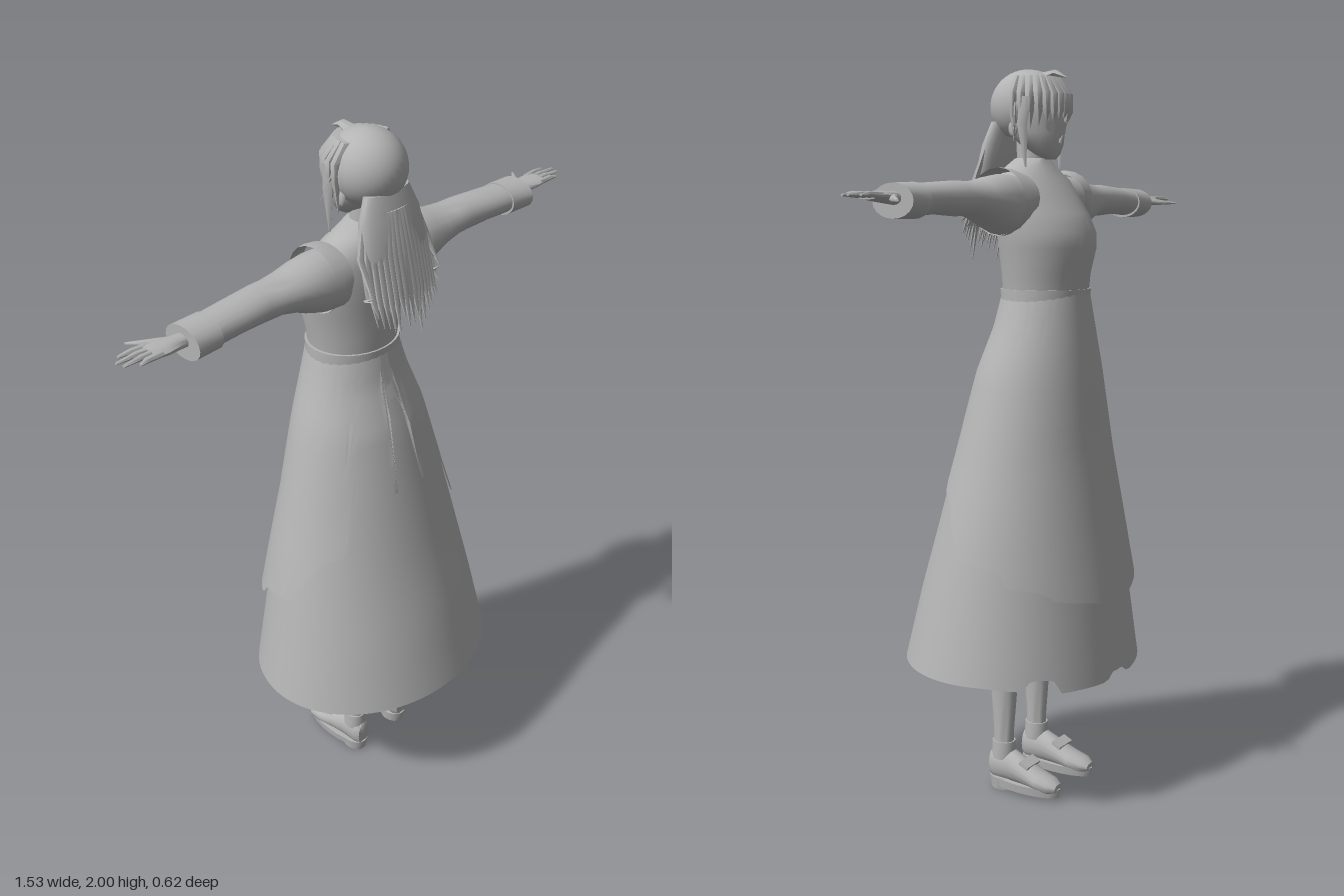
import * as THREE from 'three';
import { toCreasedNormals } from 'three/addons/utils/BufferGeometryUtils.js';

const grey = new THREE.MeshStandardMaterial({ color: 0xb4b4b4, side: THREE.DoubleSide });
grey.name = 'plain grey';

// Piecewise linear lookup: rows are [key, ...values], keys ascending
function lookup(rows, k) {
  let i = 1;
  while (i < rows.length - 1 && rows[i][0] < k) i++;
  const a = rows[i - 1], b = rows[i];
  const t = THREE.MathUtils.clamp((k - a[0]) / (b[0] - a[0]), 0, 1);
  return a.slice(1).map((v, n) => v + (b[n + 1] - v) * t);
}

// Surface from equal-length loops of points
function skin(loops, crease = 0.9) {
  const n = loops[0].length, index = [];
  for (let i = 0; i < loops.length - 1; i++) {
    for (let j = 0; j < n; j++) {
      const a = i * n + j, b = i * n + (j + 1) % n;
      index.push(a, b, b + n, a, b + n, a + n);
    }
  }
  const g = new THREE.BufferGeometry();
  g.setAttribute('position', new THREE.Float32BufferAttribute(loops.flat(2), 3));
  g.setIndex(index);
  return toCreasedNormals(g, crease);
}

// Elliptical sections [x, y, z, r1, r2] stacked along an axis, ends closed
function loft(axis, sections, seg = 16, closed = true) {
  const k = 'xyz'.indexOf(axis);
  const s = sections.slice().sort((p, q) => p[k] - q[k]);
  if (closed) {
    s.unshift([...s[0].slice(0, 3), 0, 0]);
    s.push([...s[s.length - 1].slice(0, 3), 0, 0]);
  }
  return skin(s.map(([x, y, z, p, q]) => Array.from({ length: seg }, (_, j) => {
    const a = j / seg * Math.PI * 2, c = Math.cos(a), d = Math.sin(a);
    if (axis === 'x') return [x, y + p * c, z + q * d];
    if (axis === 'y') return [x + p * d, y, z + q * c];
    return [x + p * c, y + q * d, z];
  })));
}

// Upright body from rows [y, halfWidth, zFront, zBack]
const body = (rows, seg) =>
  loft('y', rows.map(([y, w, f, b]) => [0, y, (f + b) / 2, w, (b - f) / 2]), seg);

const mirror = (sections, side) => sections.map(([x, ...r]) => [x * side, ...r]);

// Skirt shape: [y, halfWidth, zFront, zBack]
const skirtShape = [
  [0.36, 0.378, -0.31, 0.32], [0.6, 0.33, -0.28, 0.262], [0.8, 0.29, -0.255, 0.205],
  [1.0, 0.245, -0.232, 0.155], [1.2, 0.193, -0.21, 0.105], [1.32, 0.15, -0.195, 0.06],
  [1.41, 0.124, -0.183, 0.04]];

// Cloth hung from the waist to an edge height that depends on the angle from the back
function cloth(edge, flare, lift) {
  const seg = 96, rows = 16, loops = [];
  for (let i = 0; i <= rows; i++) {
    loops.push(Array.from({ length: seg }, (_, j) => {
      const a = j / seg * Math.PI * 2;
      const [low] = lookup(edge, a > Math.PI ? Math.PI * 2 - a : a);
      const y = low + (1.41 - low) * i / rows;
      const [w, f, b] = lookup(skirtShape, y);
      const o = lift + flare * Math.max(0, 1 - (y - 0.58) / 0.4);
      return [(w + o) * Math.sin(a), y, (f + b) / 2 + ((b - f) / 2 + o) * Math.cos(a)];
    }));
  }
  return skin(loops, 0.6);
}

export function createModel() {
  const model = new THREE.Group();
  const add = (name, geometry, parent = model) => {
    const m = new THREE.Mesh(geometry, grey);
    m.name = name;
    parent.add(m);
    return m;
  };
  const group = (name) => {
    const g = new THREE.Group();
    g.name = name;
    model.add(g);
    return g;
  };
  let seed = 7;
  const rand = () => (seed = (seed * 16807) % 2147483647) / 2147483647;

  // Dress and apron
  add('skirt', cloth([[0, 0.4], [1.9, 0.395], [2.25, 0.385], [2.3, 0.415], [2.5, 0.405],
    [2.55, 0.37], [3.0, 0.365], [3.05, 0.385], [3.15, 0.385]], 0, 0));
  add('apron', cloth([[0, 1.28], [0.12, 1.28], [0.19, 1.03], [0.55, 1.04], [0.7, 1.1],
    [0.8, 1.02], [0.86, 0.88], [1.15, 0.86], [1.35, 0.78], [1.5, 0.72], [1.95, 0.7],
    [2.05, 0.66], [2.4, 0.64], [2.45, 0.62], [3.15, 0.575]], 0.018, 0.004));
  add('bodice', body([[1.39, 0.123, -0.182, 0.04], [1.46, 0.13, -0.188, 0.045],
    [1.53, 0.145, -0.203, 0.05], [1.57, 0.15, -0.2, 0.055], [1.62, 0.15, -0.175, 0.06],
    [1.67, 0.148, -0.137, 0.06], [1.71, 0.135, -0.11, 0.055], [1.74, 0.09, -0.085, 0.04],
    [1.765, 0.048, -0.07, 0.02]], 32));
  add('waistband', body([[1.385, 0.134, -0.187, 0.046], [1.42, 0.134, -0.188, 0.047]], 32));
  add('neck', body([[1.74, 0.037, -0.065, 0.015], [1.83, 0.035, -0.06, 0.02]], 14));

  // Head and face
  const head = group('head');
  add('face', body([[1.762, 0.014, -0.1, -0.07], [1.775, 0.035, -0.108, -0.04],
    [1.8, 0.06, -0.114, 0], [1.83, 0.075, -0.115, 0.03], [1.87, 0.083, -0.112, 0.06],
    [1.92, 0.085, -0.11, 0.07], [1.96, 0.065, -0.085, 0.06]], 24), head);
  const nose = add('nose', new THREE.ConeGeometry(0.008, 0.022, 6), head);
  nose.position.set(0, 1.815, -0.118);
  nose.rotation.x = -0.5;
  for (const s of [-1, 1]) {
    const eye = add('eye', new THREE.CircleGeometry(0.015, 14), head);
    eye.position.set(s * 0.036, 1.845, -0.107);
    eye.rotation.y = Math.PI - s * 0.42;
    const ear = add('ear', new THREE.SphereGeometry(0.018, 10, 8), head);
    ear.scale.set(0.4, 1.2, 0.8);
    ear.position.set(s * 0.083, 1.84, -0.02);
  }

  // Hair cap, open over the face
  const hair = group('hair');
  const cap = new THREE.SphereGeometry(1, 36, 24);
  const p = cap.attributes.position;
  for (let i = 0; i < p.count; i++) {
    const y = p.getY(i), z = p.getZ(i);
    const front = THREE.MathUtils.smoothstep(-z, 0.1, 0.45);
    const low = THREE.MathUtils.lerp(-0.8, 0.15, front);
    p.setXYZ(i, p.getX(i) * 0.097, 1.9 + Math.max(y, low) * 0.097,
      -0.012 + z * (z < 0 ? 0.112 : 0.102));
  }
  cap.computeVertexNormals();
  add('hairCap', cap, hair);

  // Fringe and side locks
  for (let i = 0; i < 15; i++) {
    const t = (i - 7) / 7, a = t * 1.45, edge = Math.abs(t);
    const x = Math.sin(a), z = -Math.cos(a);
    const tip = 1.85 + 0.02 * rand() - 0.05 * edge * edge;
    add('fringeLock', loft('y', [[x * 0.065, 1.975, -0.012 + z * 0.08, 0.012, 0.012],
      [x * 0.092, 1.93, -0.012 + z * 0.113, 0.016, 0.013],
      [x * 0.094, 1.885, -0.012 + z * 0.117, 0.012, 0.01],
      [x * 0.088, tip, -0.012 + z * 0.112, 0.001, 0.001]], 6), hair);
  }
  for (const s of [-1, 1]) {
    add('sideLock', loft('y', mirror([[0.085, 1.92, -0.06, 0.014, 0.02],
      [0.094, 1.85, -0.055, 0.01, 0.016], [0.085, 1.74, -0.06, 0.002, 0.003]], s), 6), hair);
    add('strayHair', loft('y', mirror([[0.09, 1.92, -0.03, 0.002, 0.003],
      [0.108, 1.88, -0.04, 0.002, 0.002], [0.125, 1.835, -0.05, 0.0005, 0.0005]], s), 4), hair);
  }
  add('topTuft', loft('z', [[0, 1.97, -0.06, 0.02, 0.018], [0, 1.983, -0.1, 0.013, 0.01],
    [0, 1.97, -0.135, 0.001, 0.001]], 6), hair);

  // Long tail of hair: solid core and pointed strands
  add('hairTail', loft('y', [[0, 1.86, 0.05, 0.075, 0.025], [0, 1.8, 0.06, 0.1, 0.035],
    [0, 1.72, 0.075, 0.112, 0.038], [0, 1.65, 0.088, 0.11, 0.03],
    [0, 1.59, 0.1, 0.085, 0.014]], 20), hair);
  for (let i = 0; i < 34; i++) {
    const t = (i % 17 - 8) / 8, layer = i < 17 ? 0 : 1, bow = 1 - t * t;
    const tip = 1.485 + 0.09 * t * t + 0.07 * rand();
    const x = t * 0.118, z = layer ? bow * 0.033 : -bow * 0.025;
    add('hairStrand', loft('y', [[x * 0.7, 1.82, 0.056 + z * 0.9, 0.009, 0.007],
      [x * 0.95, 1.72, 0.076 + z, 0.012, 0.008], [x, 1.62, 0.1 + z, 0.01, 0.007],
      [x * 1.02, tip, 0.123 + z * 0.9, 0.001, 0.001]], 6), hair);
  }

  for (const s of [-1, 1]) {
    const side = s > 0 ? 'left' : 'right';

    // Shoulder frill and sleeve
    const arm = group(side + 'Arm');
    add('shoulderFrill', loft('x', mirror([[0.115, 1.66, -0.035, 0.068, 0.09],
      [0.15, 1.652, -0.032, 0.085, 0.092], [0.172, 1.65, -0.03, 0.087, 0.088]], s), 20, false), arm);
    add('sleeve', loft('x', mirror([[0.11, 1.64, -0.03, 0.08, 0.075],
      [0.17, 1.643, -0.03, 0.078, 0.076], [0.22, 1.648, -0.03, 0.066, 0.072],
      [0.26, 1.652, -0.03, 0.052, 0.066], [0.31, 1.657, -0.027, 0.043, 0.06],
      [0.36, 1.657, -0.027, 0.044, 0.055], [0.44, 1.657, -0.022, 0.039, 0.056],
      [0.525, 1.652, -0.02, 0.039, 0.053]], s), 20), arm);
    add('cuff', loft('x', mirror([[0.515, 1.651, -0.02, 0.044, 0.058],
      [0.59, 1.65, -0.018, 0.042, 0.062]], s), 20), arm);

    // Hand with fingers spread flat
    add('palm', loft('x', mirror([[0.57, 1.655, -0.02, 0.017, 0.022],
      [0.61, 1.657, -0.02, 0.015, 0.026], [0.65, 1.66, -0.02, 0.013, 0.036],
      [0.685, 1.661, -0.02, 0.009, 0.034]], s), 14), arm);
    [0.745, 0.765, 0.76, 0.73].forEach((end, i) => {
      const z = -0.046 + i * 0.017, zt = z - 0.006 + i * 0.004;
      add('finger', loft('x', mirror([[0.665, 1.662, z, 0.008, 0.009],
        [0.71, 1.664, (z + zt) / 2, 0.007, 0.008], [end, 1.662, zt, 0.003, 0.004]], s), 8), arm);
    });
    add('thumb', loft('x', mirror([[0.6, 1.655, -0.03, 0.012, 0.014],
      [0.645, 1.653, -0.065, 0.009, 0.013], [0.685, 1.65, -0.107, 0.003, 0.005]], s), 8), arm);

    // Leg, ankle and shoe
    const leg = group(side + 'Leg');
    add('leg', loft('y', mirror([[0.086, 0.1, 0.012, 0.027, 0.03],
      [0.086, 0.17, 0.012, 0.025, 0.03], [0.085, 0.3, 0.012, 0.03, 0.041],
      [0.085, 0.4, 0.008, 0.034, 0.044], [0.08, 0.55, -0.01, 0.042, 0.05],
      [0.075, 0.95, -0.04, 0.068, 0.08]], s), 16), leg);
    add('sock', loft('y', mirror([[0.086, 0.09, 0.012, 0.033, 0.036],
      [0.086, 0.14, 0.012, 0.031, 0.034]], s), 16), leg);
    add('shoeUpper', loft('z', mirror([[0.086, 0.065, 0.05, 0.022, 0.04],
      [0.086, 0.068, 0.035, 0.032, 0.05], [0.086, 0.068, -0.02, 0.034, 0.048],
      [0.087, 0.06, -0.06, 0.037, 0.038], [0.088, 0.046, -0.11, 0.04, 0.028],
      [0.089, 0.04, -0.15, 0.036, 0.022], [0.089, 0.036, -0.172, 0.02, 0.012]], s), 16), leg);
    add('shoeSole', loft('y', mirror([[0.088, 0.01, -0.062, 0.038, 0.112],
      [0.088, 0.034, -0.062, 0.041, 0.115]], s), 20), leg);
    add('shoeHeel', loft('y', mirror([[0.086, 0, 0.01, 0.032, 0.04],
      [0.086, 0.035, 0.01, 0.036, 0.045]], s), 16), leg);
    const strap = add('shoeStrap', new THREE.BoxGeometry(0.066, 0.01, 0.03), leg);
    strap.position.set(s * 0.087, 0.09, -0.075);
    strap.rotation.x = -0.45;
  }
  return model;
}
